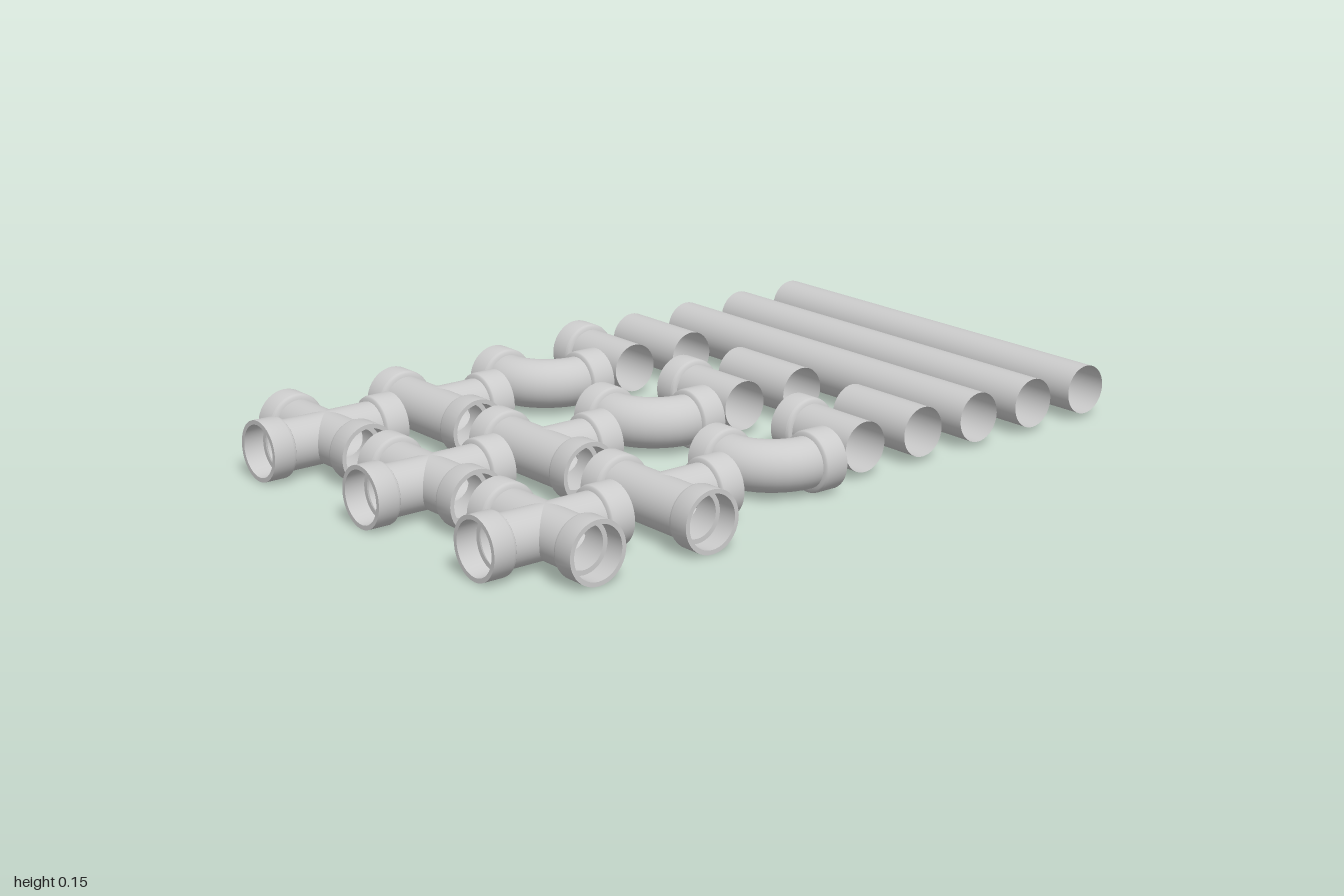
import * as THREE from 'three';
import { toCreasedNormals } from 'three/addons/utils/BufferGeometryUtils.js';

const R = 0.064;      // pipe radius
const ARM = 0.193;    // fitting centre to socket mouth
const NECK = 0.13;    // fitting centre to socket base
const AXIS_Y = 0.077; // height of every pipe axis
const SIDES = 40;

const material = new THREE.MeshStandardMaterial({ color: 0xcccccc, side: THREE.DoubleSide });

function mesh(geometry, name) {
  const m = new THREE.Mesh(geometry, material);
  m.name = name;
  return m;
}

// Open tube along +z; start(u) gives where the wall begins at sideways offset u (for mitred joints)
function tubeWall(start, end) {
  const g = new THREE.CylinderGeometry(R, R, 1, SIDES, 1, true).rotateX(Math.PI / 2);
  const p = g.attributes.position;
  for (let i = 0; i < p.count; i++) {
    p.setZ(i, p.getZ(i) > 0 ? end : start(p.getX(i)));
  }
  return g;
}

// Socket: rounded shoulder, outer wall, rim, inner wall and inner stop ring
const socketGeometry = toCreasedNormals(
  new THREE.LatheGeometry([
    [R, 0.128], [0.072, 0.13], [0.0755, 0.133], [0.077, 0.138], [0.077, ARM],
    [0.066, ARM], [0.066, 0.14], [0.054, 0.14],
  ].map(([r, y]) => new THREE.Vector2(r, y)), SIDES).rotateX(Math.PI / 2),
  0.6
);

// One arm of a fitting, pointing along +z and then turned about y
function arm(angle, start) {
  const g = new THREE.Group();
  g.name = 'arm';
  if (start) g.add(mesh(tubeWall(start, NECK), 'armWall'));
  g.add(mesh(socketGeometry, 'socket'));
  g.rotation.y = angle;
  return g;
}

function fitting(name, ...parts) {
  const g = new THREE.Group();
  g.name = name;
  g.add(...parts);
  return g;
}

const QUARTER = Math.PI / 2;

function crossFitting() {
  return fitting('crossFitting', ...[0, 1, 2, 3].map((i) => arm(i * QUARTER, Math.abs)));
}

function teeFitting() {
  return fitting('teeFitting',
    arm(0, (u) => Math.max(0, u)),
    arm(2 * QUARTER, (u) => Math.max(0, -u)),
    arm(QUARTER, Math.abs));
}

function elbowFitting() {
  const bend = new THREE.TorusGeometry(NECK, R, SIDES, 10, QUARTER)
    .rotateZ(QUARTER).rotateX(QUARTER).translate(NECK, 0, -NECK);
  return fitting('elbowFitting', mesh(bend, 'bend'), arm(2 * QUARTER), arm(QUARTER));
}

function socketPipe() {
  return fitting('socketPipe', arm(2 * QUARTER, () => -0.067));
}

function plainPipe(name, length) {
  return mesh(tubeWall(() => -length / 2, length / 2), name);
}

export function createModel() {
  const model = new THREE.Group();
  model.name = 'pipeSet';
  const place = (part, x, z) => {
    part.position.set(x, AXIS_Y, z);
    model.add(part);
  };

  // Three rows of fittings and short pipes
  for (const z of [-0.422, 0.029, 0.48]) {
    place(crossFitting(), -0.807, z);
    place(teeFitting(), -0.485, z);
    place(elbowFitting(), -0.163, z);
    place(socketPipe(), 0.157, z - 0.065);
    place(plainPipe('shortPipe', 0.26), 0.352, z - 0.128);
  }

  // Long pipes
  for (const x of [0.546, 0.741, 0.936]) {
    place(plainPipe('longPipe', 1.16), x, -0.098);
  }
  return model;
}
